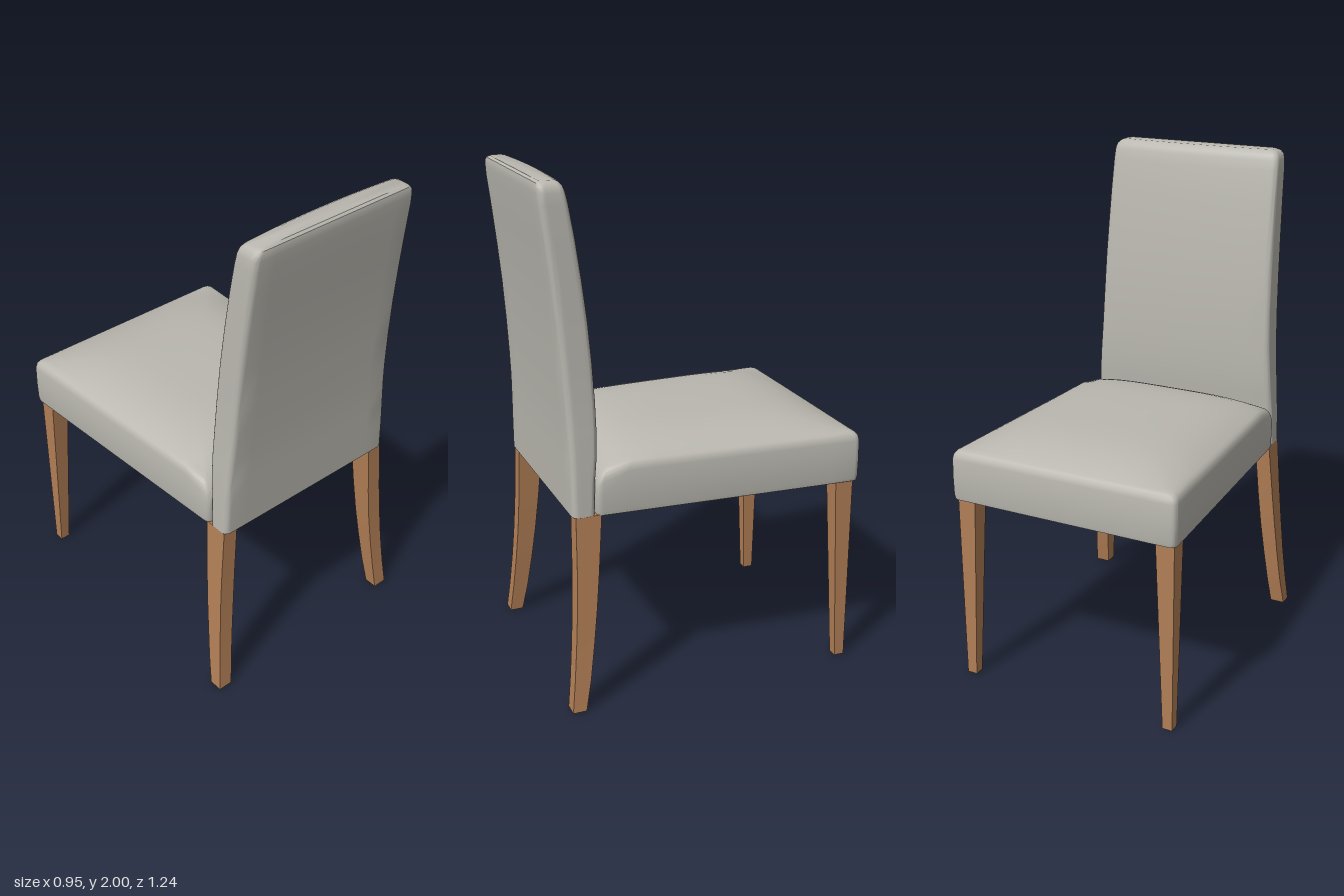
import * as THREE from 'three';
import { toCreasedNormals } from 'three/addons/utils/BufferGeometryUtils.js';

// Skin a stack of closed rings (bottom to top); both ends are closed at their centres.
function loft(rings, crease = 0.6) {
  const centre = ring => {
    const c = ring.reduce((s, p) => s.add(p), new THREE.Vector3()).divideScalar(ring.length);
    return ring.map(() => c);
  };
  const all = [centre(rings[0]), ...rings, centre(rings[rings.length - 1])];
  const n = rings[0].length, pos = [], idx = [];
  all.forEach(ring => ring.forEach(p => pos.push(p.x, p.y, p.z)));
  for (let j = 0; j < all.length - 1; j++) {
    for (let i = 0; i < n; i++) {
      const a = j * n + i, b = j * n + (i + 1) % n;
      if (j > 0) idx.push(a, a + n, b);
      else idx.push(a, a + n, b + n);
      if (j > 0 && j < all.length - 2) idx.push(a + n, b + n, b);
    }
  }
  const g = new THREE.BufferGeometry();
  g.setAttribute('position', new THREE.Float32BufferAttribute(pos, 3));
  g.setIndex(idx);
  return toCreasedNormals(g, crease);
}

// Horizontal rounded rectangle with subdivided edges.
function roundedRing(hx, z0, z1, r, y) {
  const pts = [], cz = (z0 + z1) / 2, hz = (z1 - z0) / 2, arc = 5, edge = 10;
  const signs = [[1, 1], [-1, 1], [-1, -1], [1, -1]];
  const corner = (k, t) => {
    const a = (k + t) * Math.PI / 2, [sx, sz] = signs[k];
    return new THREE.Vector3(sx * (hx - r) + r * Math.cos(a), y, cz + sz * (hz - r) + r * Math.sin(a));
  };
  for (let k = 0; k < 4; k++) {
    for (let i = 0; i <= arc; i++) pts.push(corner(k, i / arc));
    const from = corner(k, 1), to = corner((k + 1) % 4, 0);
    for (let i = 1; i < edge; i++) pts.push(from.clone().lerp(to, i / edge));
  }
  return pts;
}

// Tapered seat with a crowned cushion top that dips towards the backrest.
function seatGeometry() {
  const zFront = -0.62, zBack = 0.45, zc = (zFront + zBack) / 2, hz = (zBack - zFront) / 2;
  const taper = z => 1 - 0.115 * (z - zFront) / (zBack - zFront);
  const dip = z => 0.06 * Math.pow(Math.max(0, (z - 0.28) / 0.17), 3);
  const wall = (inset, y, dips) => roundedRing(0.477 - inset, zFront + inset, zBack - inset, 0.025, y).map(p => {
    p.x *= taper(p.z);
    if (dips) p.y -= dip(p.z);
    return p;
  });
  const rings = [wall(0.012, 0.77), wall(0.004, 0.774), wall(0.001, 0.79),
    wall(0, 0.86), wall(0.001, 0.94, true), wall(0.005, 0.958, true), wall(0.014, 0.97, true)];
  const rim = wall(0.025, 0.976);
  for (const s of [1, 0.96, 0.91, 0.85, 0.77, 0.67, 0.55, 0.4, 0.2, 0.06]) {
    rings.push(rim.map(p => {
      const x = p.x * s, z = zc + (p.z - zc) * s;
      const u = x / (0.452 * taper(z)), v = (z - zc) / (hz - 0.025);
      const crown = 0.06 * Math.max(0, 1 - u ** 4) * Math.max(0, 1 - v ** 4);
      return new THREE.Vector3(x, 0.976 + crown - dip(z), z);
    }));
  }
  return loft(rings);
}

// Tall backrest: levels of height, half width, front z, rear z.
function backGeometry() {
  const levels = [
    [0.77, 0.408, 0.442, 0.534], [0.775, 0.415, 0.437, 0.54], [0.9, 0.411, 0.432, 0.541],
    [1.0, 0.405, 0.421, 0.542], [1.1, 0.398, 0.418, 0.544], [1.2, 0.391, 0.419, 0.549],
    [1.35, 0.385, 0.426, 0.558], [1.5, 0.381, 0.438, 0.569], [1.65, 0.377, 0.455, 0.584],
    [1.8, 0.373, 0.475, 0.601], [1.92, 0.37, 0.495, 0.616], [1.96, 0.368, 0.504, 0.619],
    [1.98, 0.363, 0.511, 0.62], [1.993, 0.352, 0.521, 0.617], [2.0, 0.335, 0.535, 0.607],
  ];
  return loft(levels.map(([y, hx, z0, z1]) => {
    const mid = (z0 + z1) / 2;
    return roundedRing(hx, z0, z1, 0.024, y).map(p => {
      // Gently bulged front face
      if (p.z < mid) p.z += 0.016 * (p.x / hx) ** 2 * (mid - p.z) / (mid - z0);
      return p;
    });
  }));
}

// Square leg from levels of y, inner x, outer x, front z, rear z.
function legGeometry(levels, side) {
  return loft(levels.map(([y, xi, xo, z0, z1]) => {
    const [a, b] = side > 0 ? [xi, xo] : [-xo, -xi];
    return [[b, z1], [a, z1], [a, z0], [b, z0]].map(([x, z]) => new THREE.Vector3(x, y, z));
  }), 0.5);
}

export function createModel() {
  const fabric = new THREE.MeshStandardMaterial({ color: 0xb9b7af });
  fabric.name = 'greyUpholstery';
  const wood = new THREE.MeshStandardMaterial({ color: 0xb27f56 });
  wood.name = 'warmWood';

  const chair = new THREE.Group();
  chair.name = 'diningChair';
  const add = (name, geometry, material) => {
    const mesh = new THREE.Mesh(geometry, material);
    mesh.name = name;
    chair.add(mesh);
  };

  add('seat', seatGeometry(), fabric);
  add('backrest', backGeometry(), fabric);

  // Straight tapered front legs and splayed, curved rear legs
  const frontLevels = [[0, 0.418, 0.459, -0.595, -0.554], [0.775, 0.385, 0.461, -0.597, -0.522]];
  const rearLevels = [
    [0, 0.415, 0.475, 0.525, 0.579], [0.12, 0.403, 0.463, 0.501, 0.565],
    [0.26, 0.389, 0.451, 0.481, 0.552], [0.4, 0.376, 0.441, 0.464, 0.542],
    [0.55, 0.365, 0.43, 0.449, 0.535], [0.775, 0.351, 0.414, 0.43, 0.53],
  ];
  for (const side of [1, -1]) {
    const label = side > 0 ? 'Left' : 'Right';
    add('frontLeg' + label, legGeometry(frontLevels, side), wood);
    add('rearLeg' + label, legGeometry(rearLevels, side), wood);
  }
  return chair;
}
